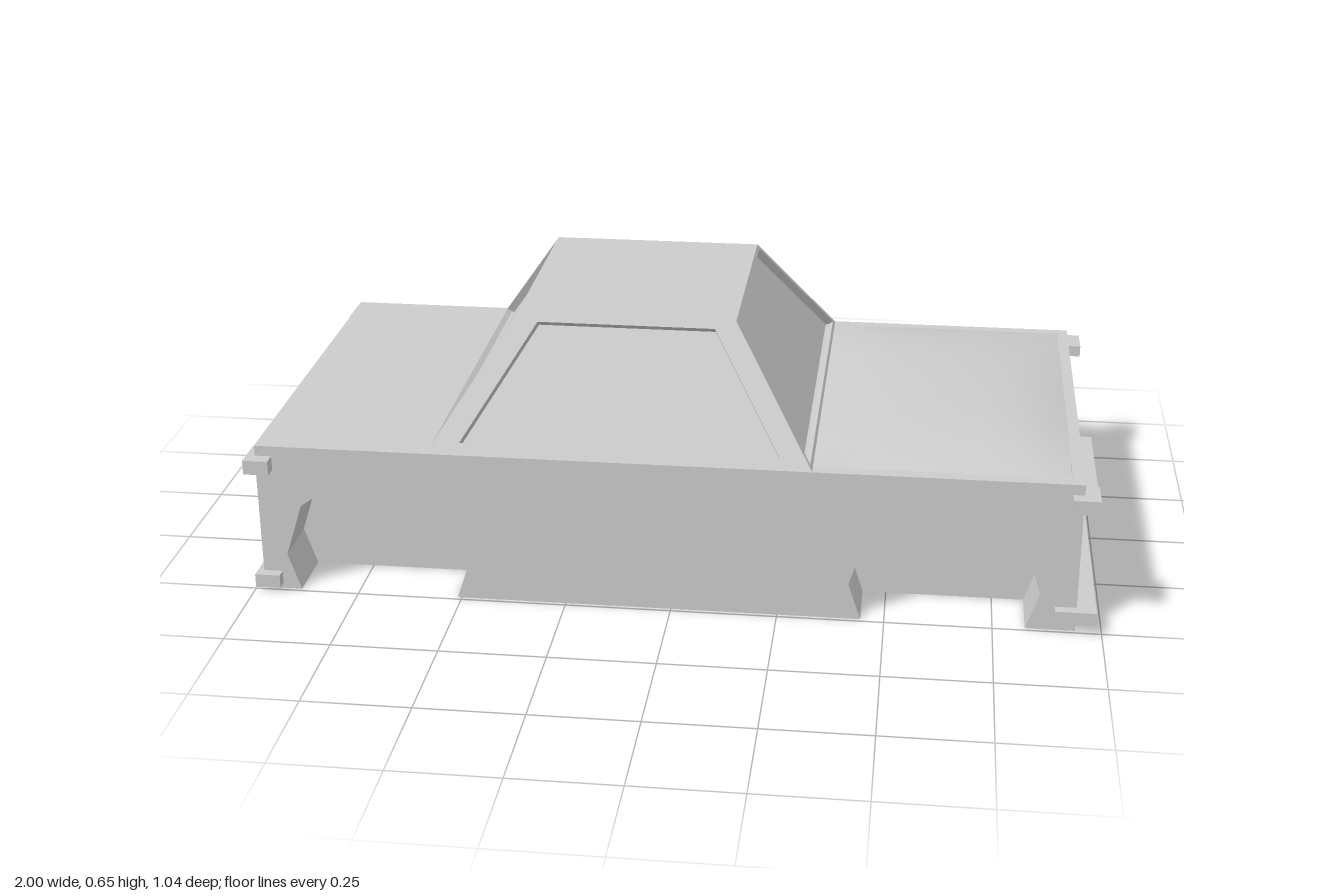
import * as THREE from 'three';

const material = new THREE.MeshStandardMaterial({ color: 0xcccccc, flatShading: true });
const smoothMaterial = new THREE.MeshStandardMaterial({ color: 0xcccccc, side: THREE.DoubleSide });

const BACK = -0.98, FRONT = 0.94, DECK = 0.37, HALF = 0.49, WELL = 0.14;

function add(parent, name, geometry, mat = material) {
  const mesh = new THREE.Mesh(geometry, mat);
  mesh.name = name;
  parent.add(mesh);
  return mesh;
}

// Box given by its limits on each axis
function box(parent, name, [x0, x1], [y0, y1], [z0, z1]) {
  const mesh = add(parent, name, new THREE.BoxGeometry(x1 - x0, y1 - y0, z1 - z0));
  mesh.position.set((x0 + x1) / 2, (y0 + y1) / 2, (z0 + z1) / 2);
}

// Side outline with two ten-sided wheel arches cut from the bottom edge
function sideShape() {
  const shape = new THREE.Shape();
  shape.moveTo(BACK, 0);
  for (const cx of [-0.7, 0.635]) {
    const r = 0.22, cy = 0.09;
    shape.lineTo(cx - 0.19, 0);
    for (let i = 5; i >= 0; i--) {
      const a = i * Math.PI / 5;
      shape.lineTo(cx + r * Math.cos(a), cy + r * Math.sin(a));
    }
    shape.lineTo(cx + 0.19, 0);
  }
  shape.lineTo(FRONT, 0);
  shape.lineTo(FRONT, DECK);
  shape.lineTo(BACK, DECK);
  return shape;
}

// Non-indexed geometry from quads listed counter-clockwise
function quadGeometry(quads) {
  const points = quads.flatMap(([a, b, c, d]) => [a, b, c, a, c, d]);
  const geometry = new THREE.BufferGeometry().setFromPoints(points);
  geometry.computeVertexNormals();
  return geometry;
}

// Window panel: frame ring, reveal walls and a sunken pane.
// Corners run bottom left, bottom right, top right, top left from outside.
function windowPanel(outer, inner, depth) {
  const normal = new THREE.Vector3().crossVectors(
    outer[1].clone().sub(outer[0]), outer[3].clone().sub(outer[0])).normalize();
  const sunk = inner.map(p => p.clone().addScaledVector(normal, -depth));
  const quads = [sunk];
  for (const [a, b] of [[outer, inner], [inner, sunk]]) {
    for (let i = 0; i < 4; i++) {
      const j = (i + 1) % 4;
      quads.push([a[i], a[j], b[j], b[i]]);
    }
  }
  return quadGeometry(quads);
}

function buildCabin() {
  const cabin = new THREE.Group();
  cabin.name = 'cabin';
  const y0 = DECK, y1 = 0.65;
  const xBack = [-0.57, -0.385], xFront = [0.325, 0.13], zSide = [0.487, 0.28];
  const v = (x, y, z) => new THREE.Vector3(x, y, z);
  const at = ([bottom, top], y) => bottom + (top - bottom) * (y - y0) / (y1 - y0);

  // Side windows
  const sideLoop = (low, high, gap) => [
    [at(xBack, low) + gap, low], [at(xFront, low) - gap, low],
    [at(xFront, high) - gap, high], [at(xBack, high) + gap, high]
  ].map(([x, y]) => v(x, y, at(zSide, y)));
  const side = windowPanel(sideLoop(y0, y1, 0), sideLoop(0.393, 0.633, 0.06), 0.025);
  add(cabin, 'leftWindow', side);
  add(cabin, 'rightWindow', windowPanel(
    ...[sideLoop(y0, y1, 0), sideLoop(0.393, 0.633, 0.06)].map(loop =>
      [1, 0, 3, 2].map(i => loop[i].clone().multiply(v(1, 1, -1)))), 0.025));

  // Windshield and rear window
  for (const [name, xs, s] of [['windshield', xFront, 1], ['rearWindow', xBack, -1]]) {
    const loop = (low, high, gap) => [[1, low], [-1, low], [-1, high], [1, high]]
      .map(([k, y]) => v(at(xs, y), y, s * k * (at(zSide, y) - gap)));
    add(cabin, name, windowPanel(loop(y0, y1, 0), loop(0.378, 0.641, 0.016), 0.02));
  }

  // Roof
  const [xb, xf, z] = [xBack[1], xFront[1], zSide[1]];
  add(cabin, 'roof', quadGeometry([[v(xb, y1, z), v(xf, y1, z), v(xf, y1, -z), v(xb, y1, -z)]]));
  return cabin;
}

// Domed hood: lengthwise height times a crosswise falloff
function buildHood() {
  const xs = [0.325, 0.38, 0.46, 0.55, 0.7, 0.8, 0.91, 0.912];
  const heights = [0, 0.026, 0.04, 0.051, 0.051, 0.038, 0.022, 0];
  const zs = [-0.46, -0.36, -0.2, 0, 0.2, 0.36, 0.46];
  const falloff = [0, 0.6, 0.97, 1, 0.97, 0.6, 0];
  const geometry = new THREE.PlaneGeometry(1, 1, xs.length - 1, zs.length - 1);
  const position = geometry.attributes.position;
  for (let i = 0; i < position.count; i++) {
    const col = i % xs.length, row = Math.floor(i / xs.length);
    position.setXYZ(i, xs[col], DECK + 0.001 + heights[col] * falloff[row], zs[row]);
  }
  geometry.computeVertexNormals();
  return geometry;
}

export function createModel() {
  const car = new THREE.Group();
  car.name = 'car';

  // Body: solid middle with an arched slab on either side
  const inner = HALF - WELL;
  box(car, 'bodyCore', [BACK, FRONT], [0, DECK], [-inner, inner]);
  for (const [name, z] of [['leftBodySide', inner], ['rightBodySide', -HALF]]) {
    const geometry = new THREE.ExtrudeGeometry(sideShape(), { depth: WELL, bevelEnabled: false });
    add(car, name, geometry).position.z = z;
  }

  car.add(buildCabin());
  add(car, 'hood', buildHood(), smoothMaterial);

  // Bumpers and plates
  box(car, 'frontBumper', [0.89, 0.985], [0.028, 0.06], [-0.515, 0.515]);
  box(car, 'rearBumper', [-0.995, -0.935], [0.012, 0.045], [-0.515, 0.515]);
  box(car, 'frontPlate', [FRONT, 1], [0.152, 0.196], [-0.187, 0.187]);
  box(car, 'rearPlate', [-1, BACK], [0.12, 0.16], [-0.187, 0.187]);

  // Corner lamps
  for (const [name, z] of [['Left', [0.44, 0.522]], ['Right', [-0.522, -0.44]]]) {
    box(car, `front${name}Lamp`, [0.913, 0.975], [0.317, 0.345], z);
    box(car, `rear${name}Lamp`, [-1, -0.94], [0.31, 0.345], z);
  }
  return car;
}
